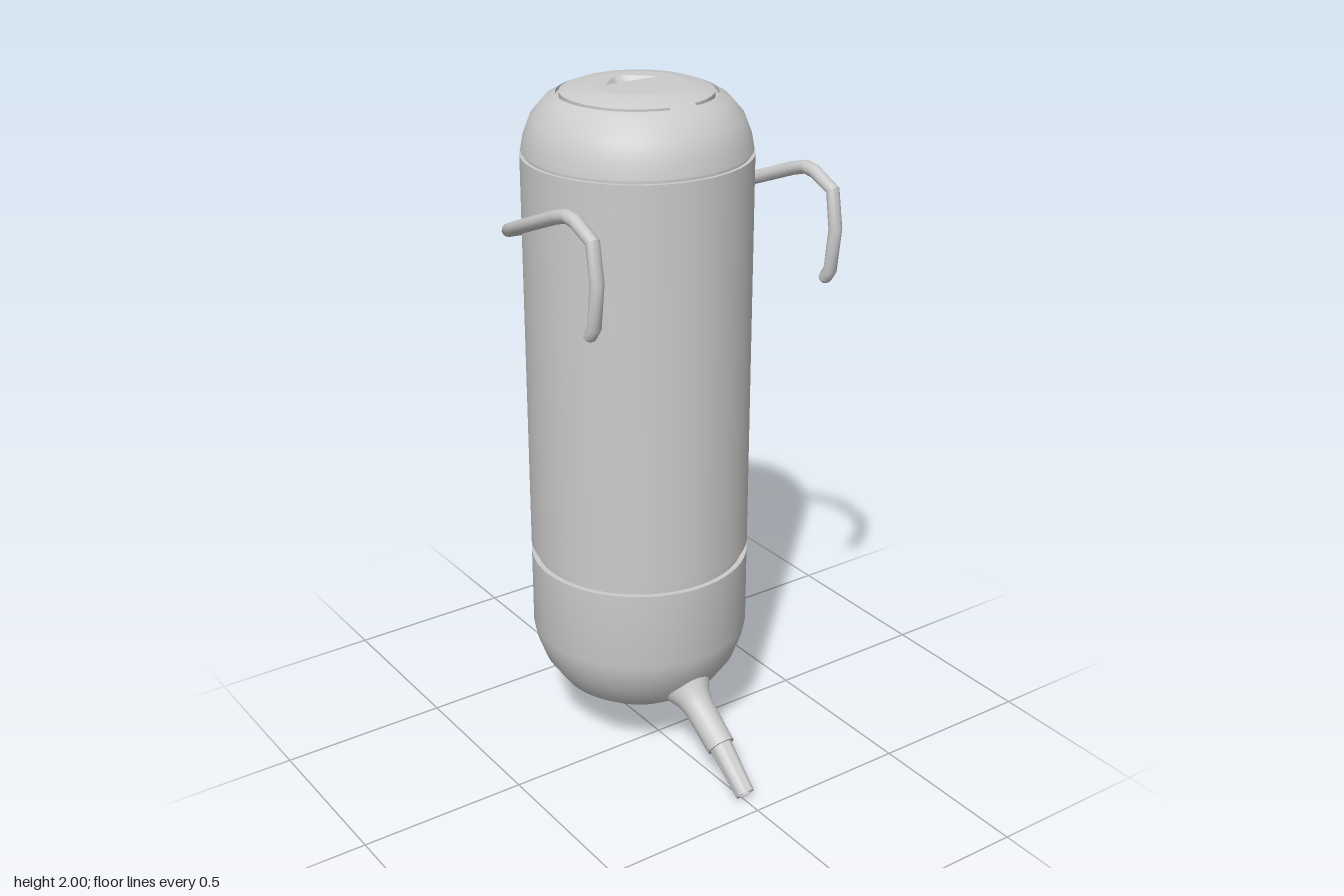
import * as THREE from 'three';
import { toCreasedNormals } from 'three/addons/utils/BufferGeometryUtils.js';

const material = new THREE.MeshStandardMaterial({ color: 0xcccccc, side: THREE.DoubleSide });
const AXIS_Z = -0.1;

function addPart(parent, name, geometry, crease = 0.6) {
  const mesh = new THREE.Mesh(toCreasedNormals(geometry, crease), material);
  mesh.name = name;
  parent.add(mesh);
  return mesh;
}

// Revolves [radius, height] pairs about the y axis
function lathe(profile, segments = 64, start = 0, length = Math.PI * 2) {
  return new THREE.LatheGeometry(profile.map(([r, y]) => new THREE.Vector2(r, y)), segments, start, length);
}

// Straight-sided path whose tube rings sit exactly on the bends
class BentPath extends THREE.Curve {
  constructor(points) {
    super();
    this.points = points;
  }
  getPoint(t, target = new THREE.Vector3()) {
    const n = this.points.length - 1;
    const i = Math.min(Math.floor(t * n), n - 1);
    return target.lerpVectors(this.points[i], this.points[i + 1], t * n - i);
  }
  getPointAt(u, target) {
    return this.getPoint(u, target);
  }
  getTangentAt(u, target = new THREE.Vector3()) {
    const n = this.points.length - 1;
    const i = Math.round(u * n);
    const p = this.points;
    target.set(0, 0, 0);
    if (i > 0) target.add(p[i].clone().sub(p[i - 1]).normalize());
    if (i < n) target.add(p[i + 1].clone().sub(p[i]).normalize());
    return target.normalize();
  }
}

// Tapered hollow in the lid, between a rim outline and a smaller floor outline
function recessWalls(rim, floor, topY, depth) {
  const positions = [];
  const index = [];
  const n = rim.length;
  rim.forEach((p, i) => {
    positions.push(p.x, topY, -p.y, floor[i].x, topY - depth, -floor[i].y);
    const a = 2 * i, b = 2 * ((i + 1) % n);
    index.push(a, a + 1, b, b, a + 1, b + 1);
  });
  const geometry = new THREE.BufferGeometry();
  geometry.setAttribute('position', new THREE.Float32BufferAttribute(positions, 3));
  geometry.setIndex(index);
  return geometry;
}

// Triangle with a straight front edge and a rounded back tip
function pointedOutline(halfWidth, shoulderX, shoulderY, tipY) {
  const front = 0.025;
  const tip = new THREE.QuadraticBezierCurve(
    new THREE.Vector2(shoulderX, shoulderY),
    new THREE.Vector2(0, 2 * tipY - shoulderY),
    new THREE.Vector2(-shoulderX, shoulderY)
  ).getPoints(8);
  return [new THREE.Vector2(-halfWidth, front), new THREE.Vector2(halfWidth, front), ...tip];
}

function buildBody() {
  const body = new THREE.Group();
  body.name = 'body';
  body.position.z = AXIS_Z;

  // Rounded base, lower groove and straight cylinder
  addPart(body, 'tank', lathe([
    [0, 0.13], [0.09, 0.132], [0.17, 0.15], [0.24, 0.198], [0.29, 0.27], [0.312, 0.33], [0.32, 0.37],
    [0.32, 0.605], [0.305, 0.605], [0.305, 0.635], [0.32, 0.635],
    [0.32, 1.81], [0.31, 1.81], [0.31, 1.82]
  ]));

  // Domed cap
  addPart(body, 'cap', lathe([
    [0.31, 1.82], [0.317, 1.82], [0.31, 1.86], [0.29, 1.912], [0.25, 1.958], [0.22, 1.975]
  ]));

  // Ring groove around the lid, interrupted by a bridge at the front
  const step = Math.PI / 32;
  addPart(body, 'lidGroove', lathe(
    [[0.22, 1.975], [0.22, 1.965], [0.21, 1.965], [0.21, 1.979]], 60, 2 * step, 60 * step));
  addPart(body, 'lidBridge', lathe([[0.22, 1.975], [0.21, 1.979]], 4, -2 * step, 4 * step));
  const lidY = 1.998;
  addPart(body, 'lidEdge', lathe([[0.21, 1.979], [0.18, 1.99], [0.13, lidY]]));

  // Flat lid centre with the pointed recess
  const rim = pointedOutline(0.085, 0.028, 0.08, 0.093);
  const floor = pointedOutline(0.055, 0.022, 0.053, 0.062);
  const disc = new THREE.Shape().absarc(0, 0, 0.13, 0, Math.PI * 2);
  disc.holes.push(new THREE.Path(rim));
  const depth = 0.03;
  addPart(body, 'lidCentre', new THREE.ShapeGeometry(disc, 32).rotateX(-Math.PI / 2).translate(0, lidY, 0));
  addPart(body, 'recessWalls', recessWalls(rim, floor, lidY, depth));
  addPart(body, 'recessFloor',
    new THREE.ShapeGeometry(new THREE.Shape(floor)).rotateX(-Math.PI / 2).translate(0, lidY - depth, 0));
  return body;
}

function buildSpout() {
  const spout = new THREE.Group();
  spout.name = 'spout';
  const root = new THREE.Vector3(0, 0.285, 0.08);
  const joint = new THREE.Vector3(0, 0.12, 0.32);
  const end = new THREE.Vector3(0, 0.022, 0.44);
  const up = new THREE.Vector3(0, 1, 0);
  const place = (mesh, from, to) => {
    mesh.position.copy(from);
    mesh.quaternion.setFromUnitVectors(up, to.clone().sub(from).normalize());
  };

  // Flared sleeve growing out of the base
  const sleeveLength = root.distanceTo(joint);
  place(addPart(spout, 'spoutSleeve', lathe([
    [0.085, 0.06], [0.066, 0.1], [0.052, 0.125], [0.044, 0.16], [0.042, sleeveLength], [0.033, sleeveLength]
  ], 24)), root, joint);

  // Narrow tapered nozzle with an open tip
  const nozzleLength = joint.distanceTo(end);
  place(addPart(spout, 'spoutNozzle', lathe([
    [0.034, -0.02], [0.034, 0], [0.028, nozzleLength], [0.021, nozzleLength],
    [0.021, nozzleLength - 0.04], [0, nozzleLength - 0.04]
  ], 24)), joint, end);
  return spout;
}

function buildHanger() {
  const hanger = new THREE.Group();
  hanger.name = 'hanger';

  // One wire: hook, arm, around the back, arm, hook
  const half = [
    [0.385, 1.475, 0.252], [0.385, 1.5, 0.27], [0.385, 1.62, 0.285], [0.385, 1.725, 0.268],
    [0.385, 1.758, 0.19], [0.385, 1.762, 0.15], [0.384, 1.745, 0.095], [0.345, 1.63, -0.19],
    [0.293, 1.585, -0.305], [0.12, 1.535, -0.42]
  ].map(p => new THREE.Vector3(...p));
  const mirrored = half.map(p => new THREE.Vector3(-p.x, p.y, p.z)).reverse();
  const points = [...half, new THREE.Vector3(0, 1.525, -0.436), ...mirrored];
  addPart(hanger, 'wire',
    new THREE.TubeGeometry(new BentPath(points), points.length - 1, 0.019, 12), 0.9);

  // Rounded wire ends
  for (const side of [1, -1]) {
    const knob = addPart(hanger, 'wireEnd', new THREE.SphereGeometry(0.019, 12, 8));
    knob.position.set(side * half[0].x, half[0].y, half[0].z);
  }

  // Strap at the back that holds the wire: [z, y] outline given a thin wall
  const outer = [[-0.405, 1.845], [-0.43, 1.838], [-0.452, 1.81], [-0.459, 1.785], [-0.459, 1.51],
    [-0.45, 1.495], [-0.425, 1.495], [-0.405, 1.51]];
  const inner = [[-0.405, 1.522], [-0.425, 1.507], [-0.441, 1.507], [-0.447, 1.515],
    [-0.447, 1.782], [-0.442, 1.803], [-0.426, 1.826], [-0.405, 1.833]];
  const strap = new THREE.Shape([...outer, ...inner].map(([z, y]) => new THREE.Vector2(-z, y)));
  addPart(hanger, 'strap',
    new THREE.ExtrudeGeometry(strap, { depth: 0.124, bevelEnabled: false })
      .translate(0, 0, -0.062).rotateY(Math.PI / 2));
  return hanger;
}

export function createModel() {
  const model = new THREE.Group();
  model.name = 'hangingBottle';
  model.add(buildBody(), buildSpout(), buildHanger());
  return model;
}
